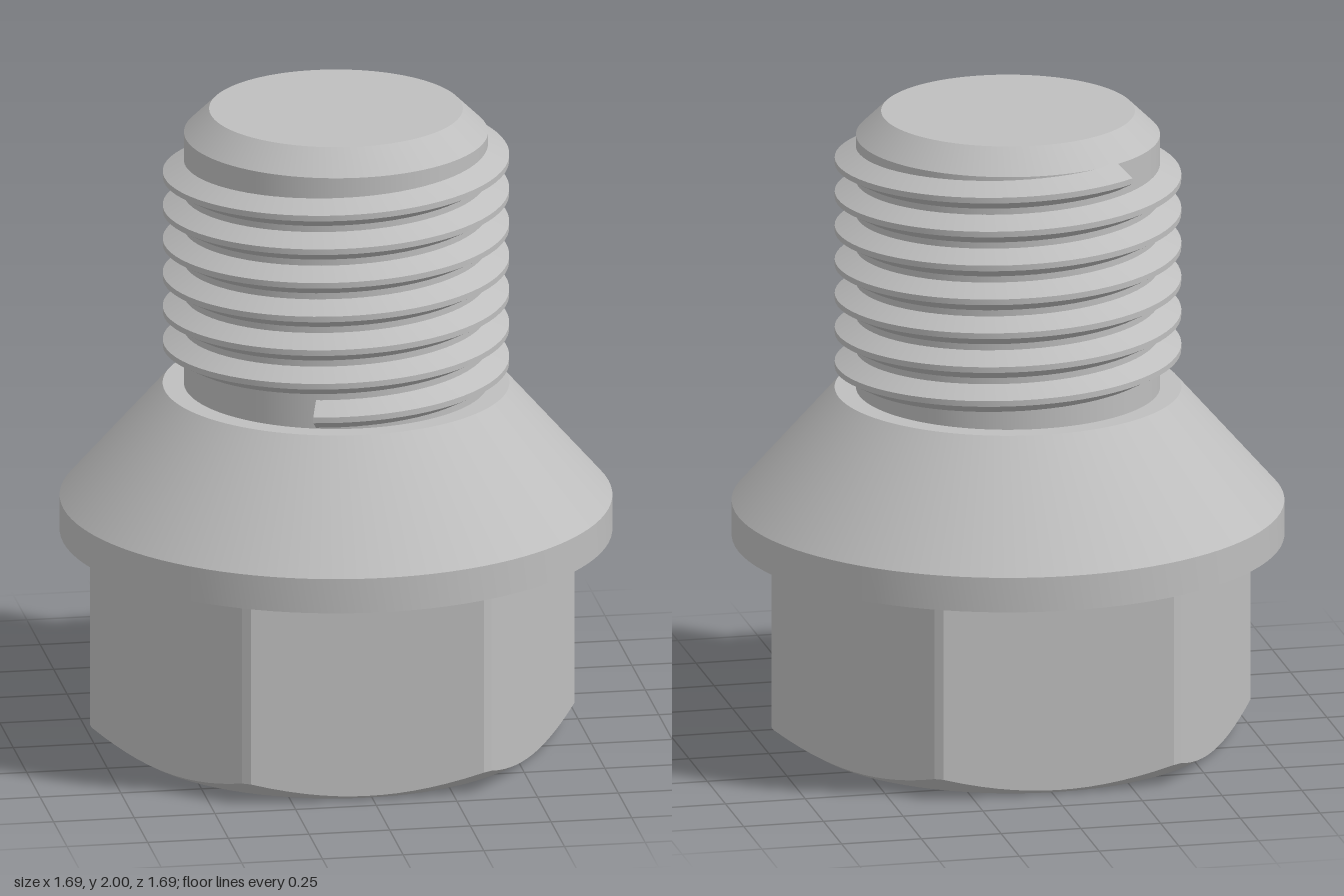
import * as THREE from 'three';
import { toCreasedNormals } from 'three/addons/utils/BufferGeometryUtils.js';

const CREASE = 0.4;
const steel = new THREE.MeshStandardMaterial({ color: 0xbebebe });
steel.name = 'steel';

// Skin a grid of points: columns run around the axis, each a list of [radius, y].
function sweep(columns) {
  const pos = [], index = [];
  const n = columns[0].profile.length;
  columns.forEach(({ angle, profile }, i) => {
    profile.forEach(([r, y], j) => {
      pos.push(r * Math.sin(angle), y, r * Math.cos(angle));
      if (i && j) {
        const d = i * n + j, a = d - n - 1, b = d - 1, c = d - n;
        index.push(a, b, c, d, c, b);
      }
    });
  });
  const g = new THREE.BufferGeometry();
  g.setAttribute('position', new THREE.Float32BufferAttribute(pos, 3));
  g.setIndex(index);
  return toCreasedNormals(g, CREASE);
}

// Helical ridge; section is a list of [radius, height offset], ends are capped.
function thread(section, startDeg, endDeg, y0, pitch) {
  const steps = Math.round((endDeg - startDeg) / 5);
  const columns = [];
  for (let i = 0; i <= steps; i++) {
    const deg = startDeg + ((endDeg - startDeg) * i) / steps;
    const y = y0 + (pitch * deg) / 360;
    const column = { angle: THREE.MathUtils.degToRad(deg), profile: section.map(([r, dy]) => [r, y + dy]) };
    const cap = { angle: column.angle, profile: section.map(() => [section[0][0], y]) };
    if (i === 0) columns.push(cap);
    columns.push(column);
    if (i === steps) columns.push(cap);
  }
  return sweep(columns);
}

// Hexagonal head with trimmed corners, conical bottom chamfer and blind bore.
function hexHead() {
  const apothem = 0.655, corner = 0.748, flat = 0.635;
  const half = Math.acos(apothem / corner), steps = 14;
  const columns = [];
  for (let side = 0; side <= 6; side++) {
    for (let k = 0; k <= steps; k++) {
      const phi = half * ((2 * k) / steps - 1);
      const r = apothem / Math.cos(phi);
      columns.push({
        angle: (side * Math.PI) / 3 + phi,
        profile: [
          [0, 0.95], [0.46, 0.95], [0.46, 0.07], [0.53, 0],
          [flat, 0], [r, (r - flat) * 0.6], [r, 0.655],
        ],
      });
      if (side === 6) break; // closes the loop
    }
  }
  return sweep(columns);
}

export function createModel() {
  const model = new THREE.Group();
  model.name = 'threadedBolt';
  const add = (name, geometry, parent = model) => {
    const mesh = new THREE.Mesh(geometry, steel);
    mesh.name = name;
    parent.add(mesh);
  };

  // Flange, cone and plain shank
  const outline = [
    [0.58, 0.65], [0.845, 0.65], [0.845, 0.76], [0.53, 1.12],
    [0.465, 1.12], [0.465, 1.925], [0.388, 2], [0, 2],
  ].map(([x, y]) => new THREE.Vector2(x, y));
  add('flangeAndShank', toCreasedNormals(new THREE.LatheGeometry(outline, 96), CREASE));

  // Outer thread
  add('outerThread', thread(
    [[0.46, -0.047], [0.53, -0.009], [0.53, 0.009], [0.46, 0.047]], -17, 2373, 1.172, 0.108));

  // Head and its inner thread sit slightly off the shank axis
  const head = new THREE.Group();
  head.name = 'head';
  head.position.set(-0.0175, 0, 0.035);
  model.add(head);
  add('hexHead', hexHead(), head);
  add('innerThread', thread(
    [[0.465, 0.047], [0.39, 0.009], [0.39, -0.009], [0.465, -0.047]], 0, 2160, 0.19, 0.108), head);

  return model;
}
